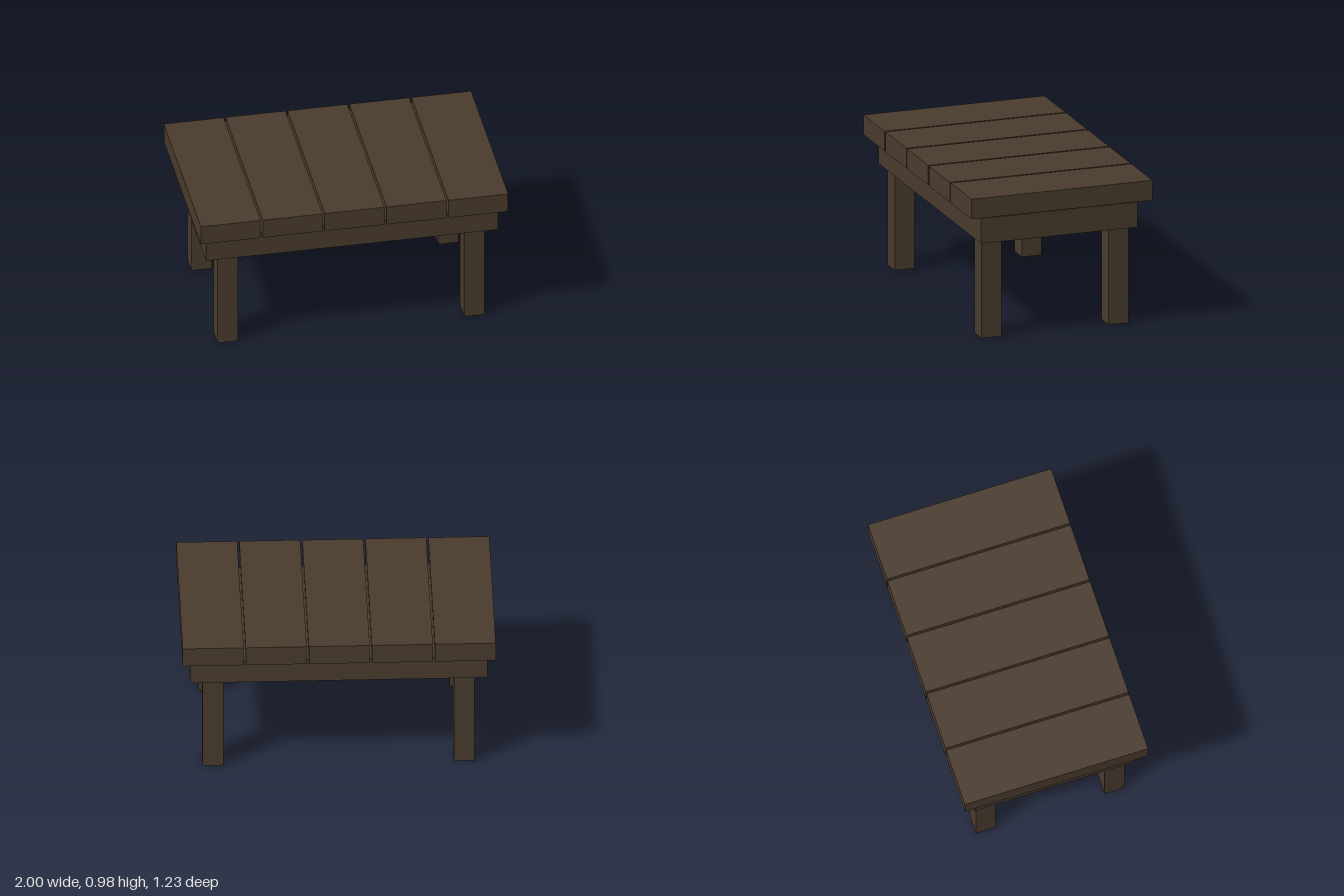
import * as THREE from 'three';

export function createModel() {
  const table = new THREE.Group();
  table.name = 'plankTable';
  const darkWood = new THREE.MeshStandardMaterial({ color: 0x4a3c2e });
  darkWood.name = 'darkWood';

  // Box given by its size, its centre in x and z, and its bottom height
  const addBox = (name, [w, h, d], x, bottom, z) => {
    const mesh = new THREE.Mesh(new THREE.BoxGeometry(w, h, d), darkWood);
    mesh.name = name;
    mesh.position.set(x, bottom + h / 2, z);
    table.add(mesh);
  };

  // Five top planks with narrow gaps
  const plankWidth = 0.389;
  const pitch = (2 - plankWidth) / 4;
  for (let i = 0; i < 5; i++) {
    addBox(`topPlank${i + 1}`, [plankWidth, 0.133, 1.23], (i - 2) * pitch, 0.842, 0);
  }

  // Solid slab under the planks
  addBox('underSlab', [1.9, 0.167, 1.064], 0, 0.657, 0);

  // Legs pass through the slab and carry the planks
  for (const [front, z] of [['front', 0.432], ['back', -0.432]]) {
    for (const [side, x] of [['Left', 0.803], ['Right', -0.803]]) {
      addBox(`${front}${side}Leg`, [0.133, 0.842, 0.133], x, 0, z);
    }
  }
  return table;
}
